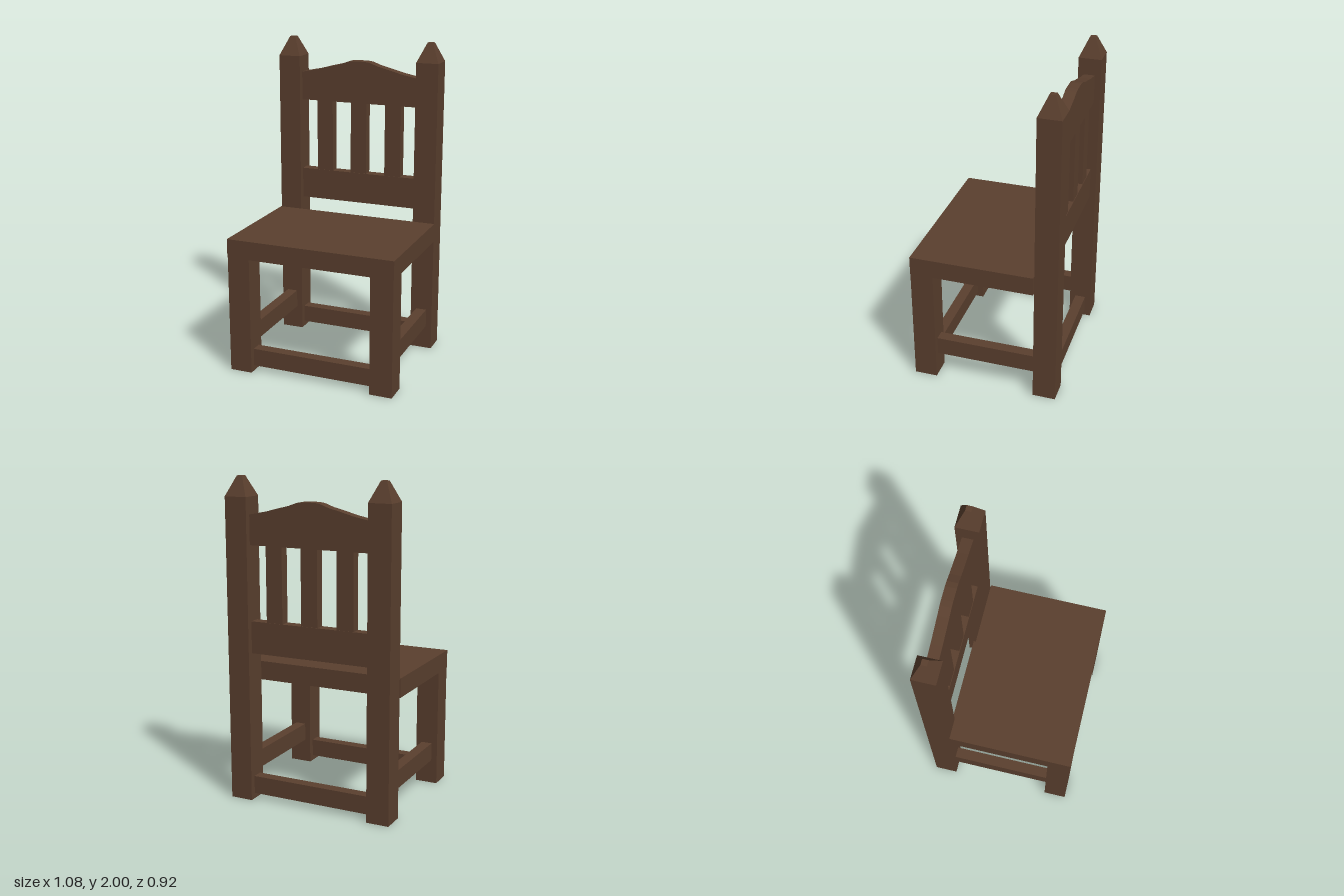
import * as THREE from 'three';

export function createModel() {
  const chair = new THREE.Group();
  chair.name = 'chair';
  const wood = new THREE.MeshStandardMaterial({ color: 0x5a3f2e, flatShading: true });

  const LEG = 0.143;     // square leg section
  const LEG_X = 0.464;   // leg centre lines
  const LEG_Z = 0.389;
  const INNER = 0.393;   // half the gap between left and right legs
  const RAIL = 0.068;    // thickness of rails and stretchers

  const add = (name, geometry, x, y, z) => {
    const mesh = new THREE.Mesh(geometry, wood);
    mesh.name = name;
    mesh.position.set(x, y, z);
    chair.add(mesh);
    return mesh;
  };
  // Box given by its centre in x and z and its bottom and top heights
  const bar = (name, w, d, y0, y1, x, z) =>
    add(name, new THREE.BoxGeometry(w, y1 - y0, d), x, (y0 + y1) / 2, z);

  // Seat board
  bar('seat', 1.076, 0.773, 0.745, 0.862, 0, 0.0745);

  for (const [side, s] of [['left', 1], ['right', -1]]) {
    // Short front legs and tall back posts
    bar(`${side}FrontLeg`, LEG, LEG, 0, 0.75, s * LEG_X, LEG_Z);
    bar(`${side}BackPost`, LEG, LEG, 0, 1.88, s * LEG_X, -LEG_Z);

    // Blunt pyramid finial on each post
    const finial = new THREE.CylinderGeometry(0.018 * Math.SQRT2, LEG / 2 * Math.SQRT2, 0.12, 4);
    finial.rotateY(Math.PI / 4);
    add(`${side}Finial`, finial, s * LEG_X, 1.94, -LEG_Z);

    // Side stretchers, higher than the front and back ones
    bar(`${side}Stretcher`, RAIL, 0.638, 0.153, 0.268, s * LEG_X, 0);
  }

  // Front and back stretchers
  bar('frontStretcher', INNER * 2, RAIL, 0.035, 0.147, 0, LEG_Z);
  bar('backStretcher', INNER * 2, RAIL, 0.035, 0.147, 0, -LEG_Z);

  // Backrest: lower rail and three slats
  bar('lowerBackRail', INNER * 2, RAIL, 0.936, 1.134, 0, -LEG_Z);
  for (const x of [-0.233, 0, 0.233]) bar('backSlat', 0.107, 0.062, 1.13, 1.6, x, -LEG_Z);

  // Crest rail with a raised centre
  const half = [[0.04, 1.862], [0.075, 1.857], [0.13, 1.837], [0.2, 1.82], [0.285, 1.797], [INNER, 1.776]];
  const outline = [
    [-INNER, 1.595], [INNER, 1.595],
    ...half.slice().reverse(),
    ...half.map(([x, y]) => [-x, y]),
  ].map(([x, y]) => new THREE.Vector2(x, y));
  const crest = new THREE.ExtrudeGeometry(new THREE.Shape(outline), { depth: RAIL, bevelEnabled: false });
  add('crestRail', crest, 0, 0, -LEG_Z - RAIL / 2);

  return chair;
}
